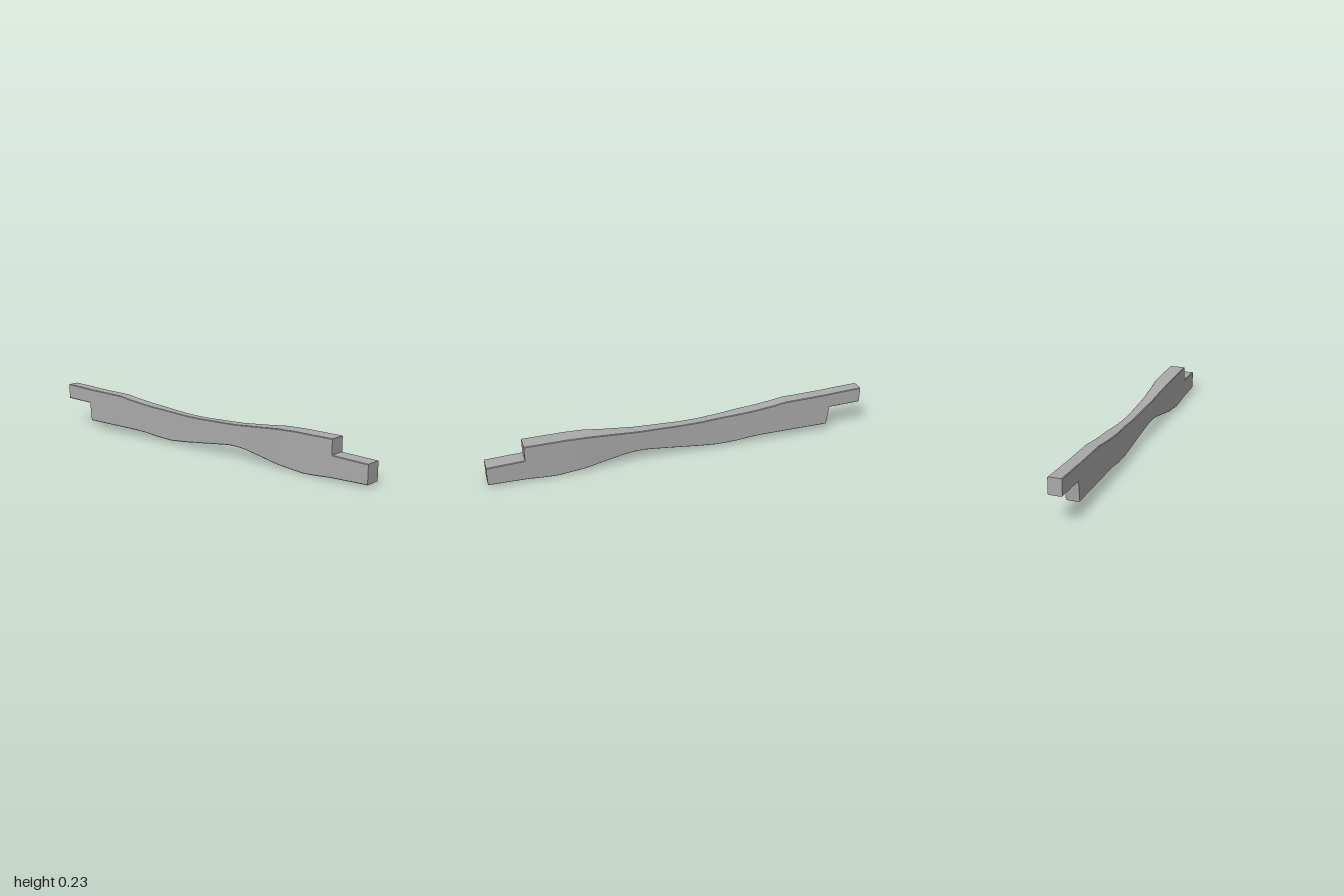
import * as THREE from 'three';
import { toCreasedNormals } from 'three/addons/utils/BufferGeometryUtils.js';

// Outline curves as [z, value], running from front to back
const TOP = [[1, 0.11], [0.81, 0.118]];
const TOP_BODY = [[0.81, 0.195], [0.6, 0.197], [0.5, 0.194], [0.4, 0.185], [0.24, 0.172], [0, 0.166],
  [-0.1, 0.168], [-0.2, 0.175], [-0.4, 0.19], [-0.5, 0.201], [-0.57, 0.212], [-0.8, 0.218], [-0.85, 0.221], [-1, 0.228]];
const BOTTOM = [[1, 0.013], [0.8, 0.01], [0.72, 0.004], [0.65, 0.002], [0.5, 0.019], [0.4, 0.037], [0.3, 0.055],
  [0.25, 0.06], [0.2, 0.06], [0.15, 0.055], [0, 0.037], [-0.1, 0.026], [-0.2, 0.018], [-0.3, 0.025],
  [-0.38, 0.034], [-0.45, 0.037], [-0.815, 0.04], [-0.825, 0.14], [-1, 0.146]];
const HALF_WIDTH = [[1, 0.044], [0.52, 0.044], [0.4, 0.036], [0.3, 0.032], [0.15, 0.028], [0, 0.025],
  [-0.2, 0.026], [-0.32, 0.033], [-1, 0.033]];

function sample(curve, z) {
  for (let i = 1; i < curve.length; i++) {
    const [z0, v0] = curve[i - 1], [z1, v1] = curve[i];
    if (z >= z1) return v0 + (v1 - v0) * (z0 - z) / (z0 - z1);
  }
  return curve[curve.length - 1][1];
}

// Rectangle with slightly bevelled corners, anticlockwise seen from the front
function section(z, top) {
  const w = sample(HALF_WIDTH, z), lo = sample(BOTTOM, z), hi = sample(top, z), b = 0.003;
  return [[w - b, lo], [w, lo + b], [w, hi - b], [w - b, hi], [b - w, hi], [-w, hi - b], [-w, lo + b], [b - w, lo]]
    .map(([x, y]) => new THREE.Vector3(x, y, z));
}

function loft(rings) {
  const pos = [];
  const tri = (a, b, c) => {
    const area = b.clone().sub(a).cross(c.clone().sub(a)).length();
    if (area > 1e-9) for (const p of [a, b, c]) pos.push(p.x, p.y, p.z);
  };
  for (let i = 0; i < rings.length - 1; i++) {
    const near = rings[i], far = rings[i + 1], n = near.length;
    for (let j = 0; j < n; j++) {
      const k = (j + 1) % n;
      tri(near[j], far[j], far[k]);
      tri(near[j], far[k], near[k]);
    }
  }
  // End faces
  const first = rings[0], last = rings[rings.length - 1];
  for (let j = 1; j < first.length - 1; j++) {
    tri(first[0], first[j], first[j + 1]);
    tri(last[0], last[j + 1], last[j]);
  }
  const geo = new THREE.BufferGeometry();
  geo.setAttribute('position', new THREE.Float32BufferAttribute(pos, 3));
  return toCreasedNormals(geo, 0.5);
}

export function createModel() {
  const group = new THREE.Group();
  const grey = new THREE.MeshStandardMaterial({ color: 0xaaaaaa });
  grey.name = 'grey';

  // Front tongue, then the step up to the waisted body and the raised rear tongue
  const stations = [...new Set([...TOP_BODY, ...BOTTOM, ...HALF_WIDTH].map(([z]) => z))].sort((a, b) => b - a);
  const rings = [
    section(1, TOP),
    section(0.81, TOP),
    ...stations.filter((z) => z <= 0.81).map((z) => section(z, TOP_BODY)),
  ];
  const bar = new THREE.Mesh(loft(rings), grey);
  bar.name = 'notchedBar';
  group.add(bar);
  return group;
}
